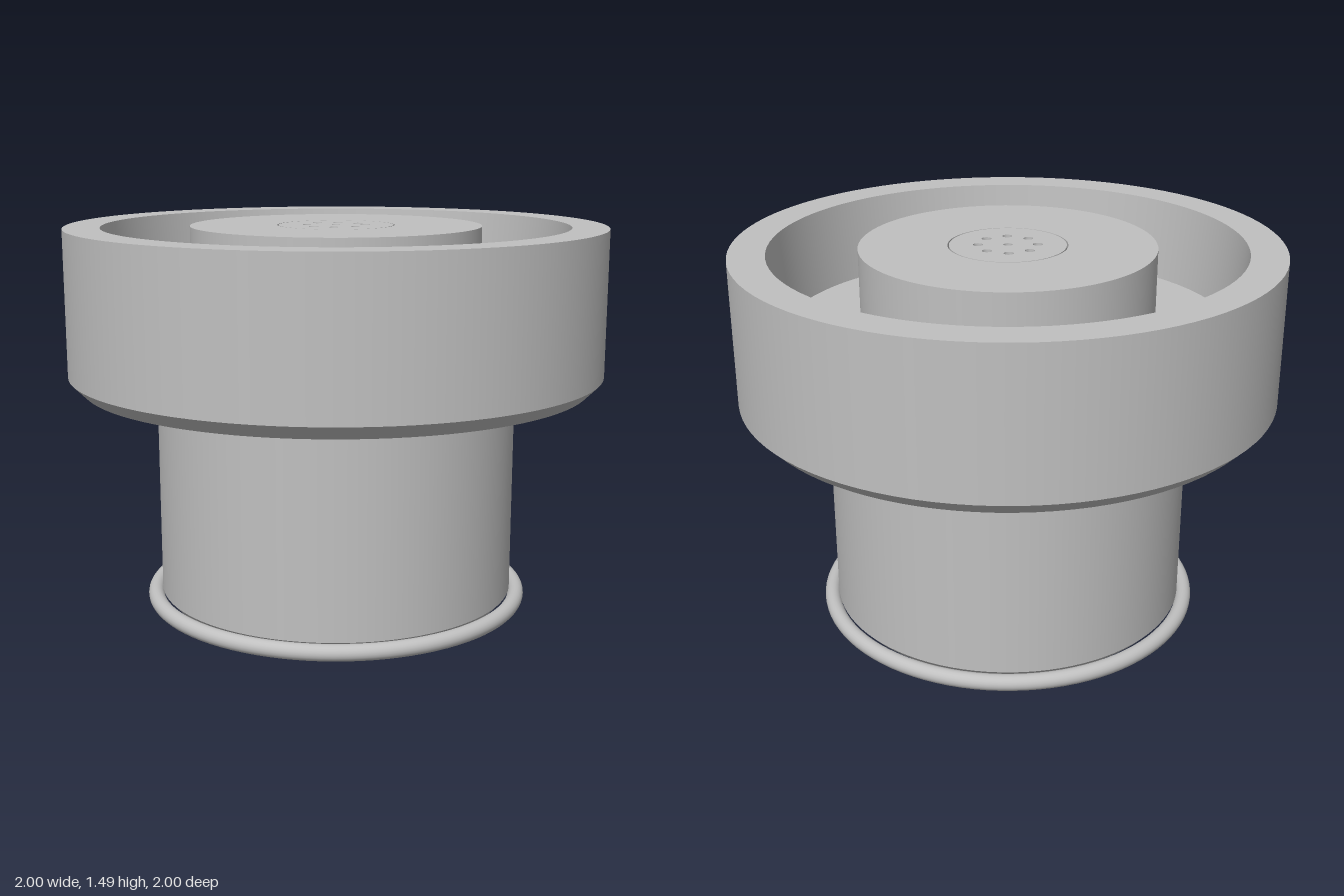
import * as THREE from 'three';
import { mergeGeometries } from 'three/addons/utils/BufferGeometryUtils.js';

const SEGMENTS = 96;

// Revolve each straight run separately so corners stay sharp
function revolve(profile) {
  const runs = [];
  for (let i = 1; i < profile.length; i++) {
    const pair = [profile[i - 1], profile[i]].map(([r, y]) => new THREE.Vector2(r, y));
    runs.push(new THREE.LatheGeometry(pair, SEGMENTS));
  }
  return mergeGeometries(runs);
}

export function createModel() {
  const model = new THREE.Group();
  const grey = new THREE.MeshStandardMaterial({ color: 0xc0c0c0 });
  grey.name = 'plain grey';

  function add(name, geometry, y = 0) {
    const mesh = new THREE.Mesh(geometry, grey);
    mesh.name = name;
    mesh.position.y = y;
    model.add(mesh);
    return mesh;
  }

  // Stem with chamfered foot, flaring into the underside of the bowl
  add('stem', revolve([[0, 0.085], [0.653, 0.085], [0.675, 0.11], [0.675, 0.9]]));

  // Thick bowl: chamfered underside, wall, rim and slightly tapered inside
  add('bowl', revolve([
    [0.675, 0.9], [0.95, 0.9], [1, 0.95], [1, 1.49],
    [0.865, 1.49], [0.835, 1.18], [0.54, 1.18],
  ]));

  // Central pedestal with a shallow well for the perforated plate
  add('pedestal', revolve([
    [0.54, 1.18], [0.54, 1.49], [0.218, 1.49], [0.218, 1.43], [0, 1.43],
  ]));

  // Plate with one central hole and eight around it
  const disc = new THREE.Shape().absarc(0, 0, 0.213, 0, Math.PI * 2);
  const addHole = (x, y, r) =>
    disc.holes.push(new THREE.Path().absarc(x, y, r, 0, Math.PI * 2, true));
  addHole(0, 0, 0.016);
  for (let i = 0; i < 8; i++) {
    const a = (i * Math.PI) / 4;
    addHole(0.108 * Math.cos(a), 0.108 * Math.sin(a), 0.018);
  }
  const plate = new THREE.ExtrudeGeometry(disc, { depth: 0.06, bevelEnabled: false, curveSegments: 32 });
  plate.rotateX(-Math.PI / 2);
  add('perforatedPlate', plate, 1.43);

  // Loose ring around the foot
  const ring = new THREE.TorusGeometry(0.7, 0.03, 20, SEGMENTS);
  ring.rotateX(Math.PI / 2);
  add('footRing', ring, 0.085);

  // Round bar half sunk into the underside
  const bar = new THREE.CylinderGeometry(0.08, 0.08, 0.3, 40);
  bar.rotateZ(Math.PI / 2);
  add('undersideBar', bar, 0.08);

  return model;
}
